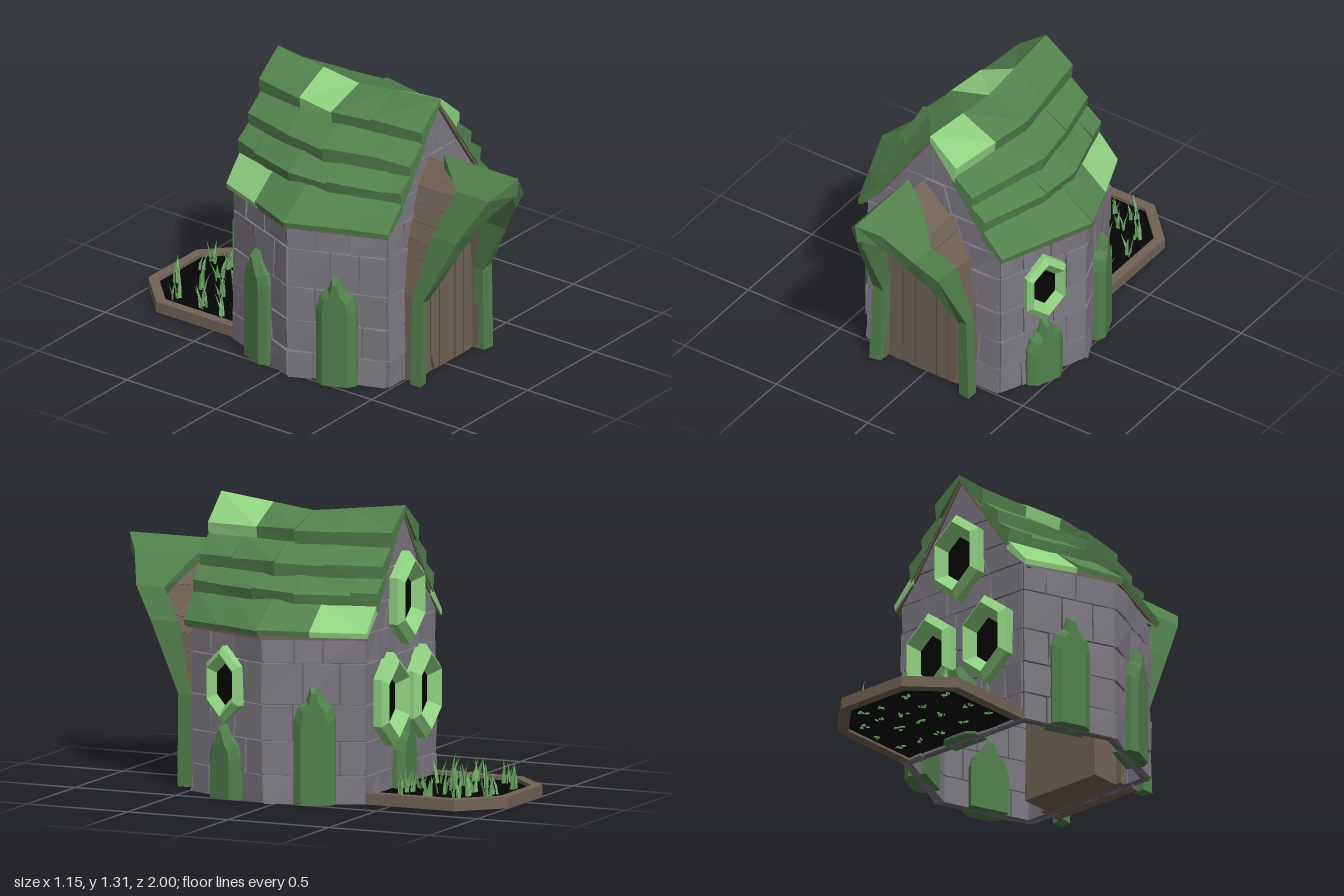
import * as THREE from 'three';

const mat = (name, color, side = THREE.FrontSide) => {
  const m = new THREE.MeshStandardMaterial({ color, side });
  m.name = name;
  return m;
};

// Closed solid lofted through cross-section loops; turned outward by its signed volume
function loft(sections) {
  const P = sections.map(s => s.map(p => new THREE.Vector3(...p)));
  const tris = [], n = P[0].length;
  for (let i = 0; i < P.length - 1; i++) for (let j = 0; j < n; j++) {
    const k = (j + 1) % n, a = P[i][j], b = P[i][k], c = P[i + 1][k], d = P[i + 1][j];
    tris.push([a, b, c], [a, c, d]);
  }
  const last = P[P.length - 1];
  for (let j = 1; j < n - 1; j++) {
    tris.push([P[0][0], P[0][j + 1], P[0][j]], [last[0], last[j], last[j + 1]]);
  }
  const o = P[0][0], v = new THREE.Vector3(), u = new THREE.Vector3(), w = new THREE.Vector3();
  let volume = 0;
  for (const [a, b, c] of tris) volume += v.subVectors(a, o).dot(u.subVectors(b, o).cross(w.subVectors(c, o)));
  const pts = tris.flatMap(t => (volume < 0 ? [t[0], t[2], t[1]] : t));
  const g = new THREE.BufferGeometry().setFromPoints(pts);
  g.computeVertexNormals();
  return g;
}

const shape = pts => new THREE.Shape(pts.map(p => new THREE.Vector2(...p)));
const slab = (pts, depth) => new THREE.ExtrudeGeometry(shape(pts), { depth, bevelEnabled: false });
const mirrorX = half => [...half, ...half.slice().reverse().filter(p => p[0] !== 0).map(([x, y]) => [-x, y])];

export function createModel() {
  const root = new THREE.Group();
  const M = {
    stone: mat('stone', 0x7d7a82), mortar: mat('mortar', 0x646169), moss: mat('moss green', 0x53814d),
    light: mat('light green', 0x90d281), wood: mat('wood', 0x726455), soil: mat('dark', 0x050505),
    grass: mat('grass green', 0x74b26b, THREE.DoubleSide), seam: mat('dark wood', 0x5a4e42), leaf: mat('leaf green', 0x3d6a3e),
  };
  let seed = 7;
  const rnd = () => (seed = (seed * 16807) % 2147483647) / 2147483647;
  const add = (parent, name, geo, m, x = 0, y = 0, z = 0) => {
    const mesh = new THREE.Mesh(geo, m);
    mesh.name = name;
    mesh.position.set(x, y, z);
    parent.add(mesh);
    return mesh;
  };

  // Roof rake at the gable ends: half width against height
  const rake = [[0, 1.275], [0.13, 1.08], [0.21, 0.96], [0.29, 0.85], [0.385, 0.75]];
  const halfWidth = y => {
    for (let i = 0; i < 4; i++) {
      const [x0, y0] = rake[i], [x1, y1] = rake[i + 1];
      if (y <= y0 && y >= y1) return x0 + (x1 - x0) * (y0 - y) / (y0 - y1);
    }
    return 0;
  };

  // Six stone walls, each in its own frame with +z outward
  const rows = [0, 0.13, 0.285, 0.45, 0.64, 0.775];
  const wall = (name, x, z, angle, length) => {
    const g = new THREE.Group();
    g.name = name;
    g.position.set(x, 0, z);
    g.rotation.y = angle;
    root.add(g);
    add(g, 'mortar', new THREE.BoxGeometry(length - 0.01, 0.77, 0.02), M.mortar, 0, 0.385, -0.02);
    const count = Math.round(length / 0.16);
    for (let r = 0; r < 5; r++) {
      const cuts = [-length / 2];
      for (let i = 1; i < count; i++) cuts.push(-length / 2 + length * (i + (r % 2 ? 0.22 : -0.2) + (rnd() - 0.5) * 0.2) / count);
      cuts.push(length / 2);
      for (let i = 0; i < count; i++) {
        const a = cuts[i] + 0.003, b = cuts[i + 1] - 0.003, y0 = rows[r] + (r ? 0.003 : 0), y1 = rows[r + 1] - 0.003;
        const f = () => rnd() * 0.014, back = -0.035;
        add(g, 'wallStone', loft([
          [[a, y0, back], [b, y0, back], [b, y1, back], [a, y1, back]],
          [[a, y0, f()], [b, y0, f()], [b, y1, f()], [a, y1, f()]]]), M.stone);
      }
    }
    return g;
  };
  const tilt = Math.atan2(0.43, 0.17);
  const front = wall('frontWall', 0, 0.48, 0, 0.72);
  const back = wall('backWall', 0, -0.38, Math.PI, 0.72);
  const frontLeft = wall('frontLeftWall', 0.443, 0.265, tilt, 0.462);
  const frontRight = wall('frontRightWall', -0.443, 0.265, -tilt, 0.462);
  const backLeft = wall('backLeftWall', 0.443, -0.165, Math.PI - tilt, 0.462);
  const backRight = wall('backRightWall', -0.443, -0.165, Math.PI + tilt, 0.462);

  // Gable stones
  const gableRows = [[0.775, 0.9, [-1, -0.5, 0, 0.45, 1]], [0.9, 1.045, [-1, -0.3, 0.4, 1]], [1.045, 1.272, [-1, 0, 1]]];
  for (const g of [front, back]) {
    add(g, 'gableMortar', slab(mirrorX(rake.slice().reverse()), 0.03), M.mortar, 0, 0, -0.04);
    for (const [y0, y1, cuts] of gableRows) for (let i = 0; i < cuts.length - 1; i++) {
      const q = (f, y, d, z) => [f * halfWidth(y) + d, y, z];
      const ring = z => [q(cuts[i], y0 + 0.003, 0.003, z), q(cuts[i + 1], y0 + 0.003, -0.003, z),
        q(cuts[i + 1], y1 - 0.003, -0.003, z), q(cuts[i], y1 - 0.003, 0.003, z)];
      add(g, 'gableStone', loft([ring(-0.03), ring(0.002 + rnd() * 0.01)]), M.stone);
    }
  }

  // Roof: wooden shell beneath four rows of bulging shingles per side, the ridge sagging in the middle
  const spread = z => 1 - 0.32 * Math.min(1, Math.abs(z - 0.05) / 0.45);
  const ridge = z => 0.055 * Math.abs(z - 0.05) / 0.45;
  const joints = [[0.51, 0.25, 0.05, -0.15, -0.405], [0.51, 0.33, 0.09, -0.14, -0.4],
    [0.51, 0.43, 0.17, -0.04, -0.29, -0.405], [0.51, 0.3, 0.06, -0.16, -0.4]];
  const upper = [[0, 1.255], [0.18, 1.15], [0.31, 1.02], [0.41, 0.91]];
  const lower = [[0.212, 1.2], [0.342, 1.07], [0.442, 0.95], [0.582, 0.79]];
  const under = [[0.2, 1.14], [0.33, 1.0], [0.425, 0.89], [0.575, 0.765]];
  const roof = new THREE.Group();
  roof.name = 'roof';
  root.add(roof);
  for (const s of [-1, 1]) {
    const ends = [0.5, 0.05, -0.395];
    for (let h = 0; h < 2; h++) for (let i = 0; i < 4; i++) {
      const ring = z => [[rake[i], 0], [rake[i + 1], 0], [rake[i + 1], 0.02], [rake[i], 0.02]]
        .map(([p, d]) => [s * p[0] / 0.68 * spread(z), p[1] + d + (p[0] ? 0 : ridge(z) - 0.06), z]);
      add(roof, 'roofBoard', loft([ring(ends[h]), ring(ends[h + 1])]), M.wood);
    }
    joints.forEach((zs, r) => {
      for (let i = 0; i < zs.length - 1; i++) {
        const ring = (z, j) => {
          const k = s * spread(z), up = r ? 0 : ridge(z), drop = r < 3 ? ridge(z) * 0.45 : 0;
          const [a, b, c] = [upper[r], lower[r], under[r]];
          return [[k * a[0], a[1] + up - (r ? 0.05 : 0.03), z], [k * a[0], a[1] + up, z],
            [k * (b[0] + j * 0.3), b[1] + j, z], [k * (c[0] + j * 0.3), c[1] + j - drop, z]];
        };
        const j0 = 0.006 - rnd() * 0.02, j1 = 0.006 - rnd() * 0.02;
        const bright = (r === 0 && i === (s > 0 ? 0 : 2)) || (r === 3 && i === 3);
        add(roof, 'shingle', loft([ring(zs[i], j0), ring(zs[i + 1], j1)]), bright ? M.light : M.moss);
      }
    });
  }

  // Pointed windows with bevelled frames
  const pane = [[0, 1], [0.95, 0.52], [0.95, -0.48], [0, -1], [-0.95, -0.5], [-0.95, 0.5]];
  const win = (parent, x, y, w, h, depth) => {
    const g = new THREE.Group();
    g.name = 'window';
    g.position.set(x, y, 0.005);
    parent.add(g);
    const profile = [[1, -0.01], [1, depth * 0.6], [0.8, depth], [0.53, 0.015], [0.53, -0.01]];
    const section = ([px, py]) => profile.map(([k, z]) => [px * w * k, py * h * k, z]);
    for (let i = 0; i < 6; i++) add(g, 'windowFrame', loft([section(pane[i]), section(pane[(i + 1) % 6])]), M.light);
    add(g, 'windowPane', slab(pane.map(([a, b]) => [a * w * 0.55, b * h * 0.55]), 0.006), M.soil, 0, 0, 0.008);
  };
  win(frontLeft, 0, 0.515, 0.11, 0.178, 0.05);
  win(back, 0, 0.892, 0.138, 0.212, 0.07);
  win(back, -0.165, 0.452, 0.138, 0.215, 0.07);
  win(back, 0.17, 0.44, 0.138, 0.215, 0.07);

  // Mossy stems climbing the walls
  const stem = (parent, h) => {
    const outline = [[-1, 0], [-1, h - 0.15], [-0.8, h - 0.09], [-0.4, h - 0.06], [-0.2, h], [0.1, h], [0.4, h - 0.05], [0.85, h - 0.09], [1, h - 0.14], [1, 0]];
    const ring = (k, drop, z) => outline.map(([x, y]) => [x * k, y && y - drop, z]);
    add(parent, 'climbingStem', loft([ring(0.095, 0, -0.06), ring(0.095, 0, 0.025), ring(0.06, 0.025, 0.055)]), M.moss);
  };
  stem(frontLeft, 0.335);
  stem(frontRight, 0.525);
  stem(backLeft, 0.535);
  stem(backRight, 0.535);
  stem(back, 0.36);

  // Plank hood over the door, leaning out with height
  const hood = [[-0.24, 0], [-0.24, 0.43], [-0.205, 0.69], [-0.13, 0.92], [-0.05, 1.03], [0.1, 0.89], [0.2, 0.69], [0.24, 0.43], [0.24, 0]];
  const reach = y => 0.56 + Math.max(0, Math.min(y, 0.9) - 0.43) * 0.42;
  for (let i = 0; i < 8; i++) for (let k = 0; k < 3; k++) {
    const at = t => hood[i].map((v, n) => v + (hood[i + 1][n] - v) * t);
    const a = at(k / 3), b = at((k + 1) / 3), inset = 1 - 0.015 * ((i + k) % 2);
    const ring = ([x, y]) => [[x * inset, y, 0.42], [x * inset, y, reach(y)], [x * 0.88, y * 0.975, reach(y)], [x * 0.88, y * 0.975, 0.42]];
    add(root, 'hoodPlank', loft([ring(a), ring(b)]), M.wood);
  }

  // Twisted arch reaching forward: outer x, y, inner x, y, front z, back z
  const arch = [[-0.27, 0, -0.215, 0, 0.6, 0.54], [-0.252, 0.42, -0.2, 0.4, 0.6, 0.54], [-0.216, 0.74, -0.165, 0.68, 0.76, 0.62],
    [-0.16, 0.97, -0.115, 0.89, 0.9, 0.72], [-0.07, 1.08, -0.065, 0.99, 1.0, 0.58], [0.025, 1.02, 0.0, 0.95, 0.93, 0.62],
    [0.155, 0.88, 0.105, 0.82, 0.86, 0.72], [0.217, 0.74, 0.165, 0.67, 0.76, 0.62], [0.262, 0.42, 0.208, 0.4, 0.6, 0.54], [0.272, 0, 0.215, 0, 0.6, 0.54]];
  add(root, 'doorArch', loft(arch.map(([ox, oy, ix, iy, f, b]) => [[ox, oy, f], [ix, iy, f - 0.01], [ix, iy, b], [ox, oy, b]])), M.moss);

  // Door with pointed frame, plank seams and a notch at the foot
  add(root, 'doorFrame', slab(mirrorX([[0.21, 0], [0.2, 0.5], [0.165, 0.64], [0.09, 0.78], [0, 0.88]]), 0.25), M.wood, 0, 0, 0.28);
  const leafHalf = [[0.168, 0.008], [0.168, 0.55], [0.12, 0.68], [0.05, 0.765], [0, 0.79]];
  const outline = [...mirrorX(leafHalf), [-0.137, 0.008], [-0.112, 0.09], [-0.09, 0.008]];
  add(root, 'door', slab(outline, 0.014), M.wood, 0, 0, 0.53);
  for (const [x, top] of [[-0.122, 0.67], [-0.055, 0.75], [0.06, 0.745], [0.122, 0.67]]) {
    const foot = x < -0.1 ? 0.1 : 0.01;
    add(root, 'plankSeam', new THREE.BoxGeometry(0.004, top - foot, 0.003), M.seam, x, (top + foot) / 2, 0.5445);
  }

  // Round door ornament with a sprout
  const disc = new THREE.CylinderGeometry(0.068, 0.068, 0.02, 10).toNonIndexed().rotateX(Math.PI / 2);
  disc.computeVertexNormals();
  add(root, 'doorOrnament', disc, M.stone, 0, 0.605, 0.55);
  add(root, 'ornamentRim', new THREE.TorusGeometry(0.07, 0.01, 4, 10), M.stone, 0, 0.605, 0.557);
  for (const s of [-1, 1]) {
    const pts = [[0, -0.025], [0.025, -0.03], [0.05, -0.01], [0.058, 0.018], [0.025, 0.006]].map(([x, y]) => [x * s, y]);
    add(root, 'ornamentLeaf', slab(pts, 0.005), M.leaf, 0, 0.6, 0.56);
  }
  const sprout = new THREE.CatmullRomCurve3([[0, -0.055], [0.003, -0.01], [0.02, 0.03], [0.008, 0.052], [-0.016, 0.04]].map(([x, y]) => new THREE.Vector3(x, y, 0)));
  add(root, 'ornamentStem', new THREE.TubeGeometry(sprout, 10, 0.004, 4), M.leaf, 0, 0.605, 0.562);

  // Garden bed behind the house
  const bed = [[0.36, -0.36], [0.36, -0.82], [0.18, -1], [-0.18, -1], [-0.36, -0.82], [-0.36, -0.36]];
  const inner = [[0.315, -0.36], [0.315, -0.8], [0.16, -0.955], [-0.16, -0.955], [-0.315, -0.8], [-0.315, -0.36]];
  for (let i = 0; i < 5; i++) {
    const ring = k => [[bed[k], 0], [bed[k], 0.052], [inner[k], 0.052], [inner[k], 0]].map(([[x, z], y]) => [x, y, z]);
    add(root, 'bedRim', loft([ring(i), ring(i + 1)]), M.wood);
  }
  const soil = y => inner.map(([x, z]) => [x, y, z]);
  add(root, 'soil', loft([soil(0.012), soil(0.035)]), M.soil);

  // Grass tufts made of bent blades rooted through the soil
  const blade = (x, z) => {
    const a = rnd() * 6.283, h = 0.1 + rnd() * 0.055, lean = 0.015 + rnd() * 0.03, w = 0.009;
    const dx = Math.cos(a), dz = Math.sin(a);
    const ring = (t, k) => [[-dz, dx], [dz, -dx], [dx * 0.7, dz * 0.7]]
      .map(([u, v]) => [x + dx * lean * t * t + u * w * k, 0.005 + h * t, z + dz * lean * t * t + v * w * k]);
    return loft([ring(0, 1), ring(0.55, 0.85), ring(1, 0.05)]);
  };
  for (const z of [-0.89, -0.77, -0.64, -0.51]) for (const x of [-0.25, -0.11, 0.03, 0.15, 0.26]) {
    if (z < -0.85 && Math.abs(x) > 0.2) continue;
    const cx = x + (rnd() - 0.5) * 0.03, cz = z + (rnd() - 0.5) * 0.03;
    for (let i = 0; i < 5; i++) add(root, 'grassBlade', blade(cx + (rnd() - 0.5) * 0.045, cz + (rnd() - 0.5) * 0.03), M.grass);
  }
  return root;
}
